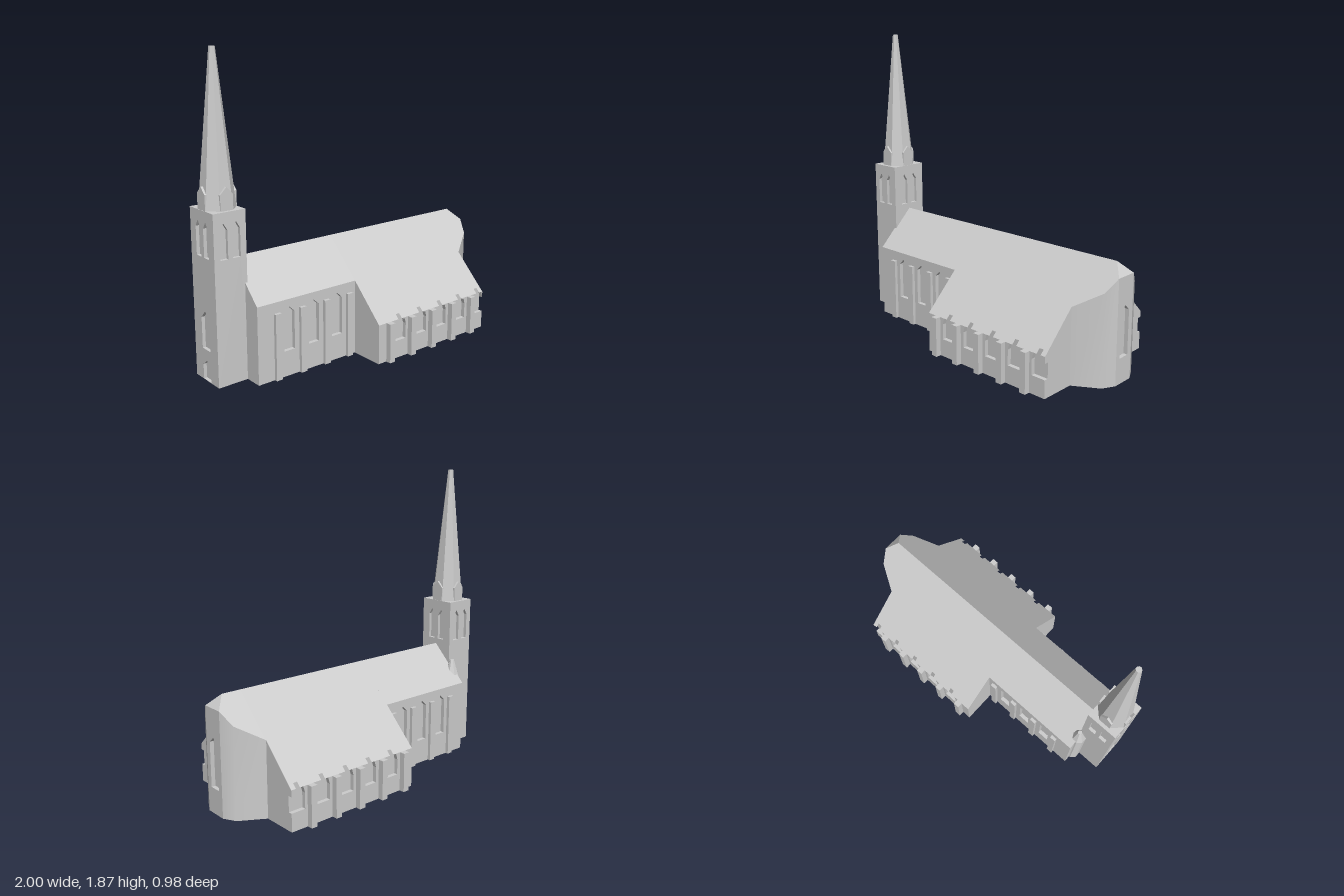
import * as THREE from 'three';

const RIDGE = 0.7; // both roof slopes fall at 45 degrees from here
const DEPTH = 0.025; // window recess

export function createModel() {
  const church = new THREE.Group();
  church.name = 'church';
  const stone = new THREE.MeshStandardMaterial({ color: 0xcccccc });
  stone.name = 'pale stone';

  const add = (name, geo, x = 0, y = 0, z = 0) => {
    const mesh = new THREE.Mesh(geo, stone);
    mesh.name = name;
    mesh.position.set(x, y, z);
    church.add(mesh);
    return mesh;
  };
  const flat = (geo) => {
    const g = geo.index ? geo.toNonIndexed() : geo;
    g.computeVertexNormals();
    return g;
  };
  const poly = (pts) => new THREE.Shape(pts.map(([x, y]) => new THREE.Vector2(x, y)));
  const extrude = (shape, depth) => new THREE.ExtrudeGeometry(shape, { depth, bevelEnabled: false });
  const box = (name, x0, x1, y0, y1, z0, z1) =>
    add(name, new THREE.BoxGeometry(x1 - x0, y1 - y0, z1 - z0), (x0 + x1) / 2, (y0 + y1) / 2, (z0 + z1) / 2);

  // Outline of a straight-headed pointed window
  const pointed = (c, hw, y0, shoulder, peak) =>
    [[c - hw, y0], [c + hw, y0], [c + hw, shoulder], [c, peak], [c - hw, shoulder]];
  // Wall plate with window holes
  const pierced = (x0, x1, h, windows) => {
    const shape = poly([[x0, 0], [x1, 0], [x1, h], [x0, h]]);
    shape.holes = windows.map((w) => poly(w));
    return shape;
  };

  // Gabled cores of nave and aisles, behind the wall skins
  const hall = (name, w, x0, x1) => {
    const section = poly([[-w, 0], [w, 0], [w, RIDGE - w], [0, RIDGE], [-w, RIDGE - w]]);
    add(name, extrude(section, x1 - x0).rotateY(Math.PI / 2).translate(x0, 0, 0));
  };
  // Side wall skin whose top is trimmed to the roof slope
  const sideWall = (name, shapes, outer, side) => {
    const g = extrude(shapes, DEPTH);
    g.translate(0, 0, side > 0 ? outer - DEPTH : -outer);
    const p = g.attributes.position;
    for (let i = 0; i < p.count; i++) p.setY(i, Math.min(p.getY(i), RIDGE - Math.abs(p.getZ(i))));
    add(name, flat(g));
  };

  const NAVE = 0.235, AISLE = 0.455, WEST = -0.81, STEP = -0.105, EAST = 0.81;
  hall('naveBody', NAVE - DEPTH, WEST, STEP);
  hall('aisleBody', AISLE - DEPTH, STEP, EAST);

  const naveWall = pierced(WEST, STEP, RIDGE - NAVE + DEPTH,
    [-0.595, -0.42, -0.245].map((c) => pointed(c, 0.0375, 0.155, 0.385, 0.42)));

  // Aisle wall: sill strip plus piers with arched edges that run up into the roof
  const top = RIDGE - AISLE + DEPTH, sill = 0.11;
  const arch = [[0.0475, sill], [0.0475, 0.205], [0.036, 0.245], [0.023, 0.263], [0.014, top]];
  const centres = [0.065, 0.24, 0.415, 0.59, 0.765];
  const aisleWall = [poly([[STEP, 0], [EAST, 0], [EAST, sill], [STEP, sill]])];
  for (let i = 0; i < centres.length; i++) {
    const left = i ? arch.map(([dx, y]) => [centres[i - 1] + dx, y]) : [[STEP, sill], [STEP, top]];
    const right = arch.map(([dx, y]) => [centres[i] - dx, y]);
    aisleWall.push(poly([...right, ...left.reverse()]));
  }
  // last window breaks through the east corner, leaving a small spandrel
  aisleWall.push(poly([[EAST, 0.205], [EAST, top], [0.779, top], [0.788, 0.263], [0.801, 0.245]]));

  for (const side of [1, -1]) {
    sideWall('naveWall', naveWall, NAVE, side);
    sideWall('aisleWall', aisleWall, AISLE, side);
    const buttress = (x, h, inner, outer) =>
      box('buttress', x - 0.02, x + 0.02, 0, h, Math.min(side * inner, side * outer), Math.max(side * inner, side * outer));
    for (const x of [-0.68, -0.505, -0.33, -0.155]) buttress(x, 0.4, 0.225, 0.255);
    for (const x of [-0.025, 0.15, 0.327, 0.503, 0.68]) buttress(x, 0.245, 0.445, 0.49);
  }

  // Apse: smooth flanks, flat east face with window, roof continuing the slopes
  const plan = [[EAST, 0.235], [0.96, 0.145], [1.0, 0.07]];
  for (const s of [1, -1]) {
    const wall = new THREE.PlaneGeometry(1, 1, 2, 1);
    const p = wall.attributes.position;
    for (let i = 0; i < p.count; i++) {
      const col = Math.round((p.getX(i) + 0.5) * 2);
      const [x, z] = plan[s > 0 ? col : 2 - col];
      p.setXYZ(i, x, p.getY(i) > 0 ? RIDGE - z : 0, s * z);
    }
    wall.computeVertexNormals();
    add('apseWall', wall);
  }
  const fan = (pts) => {
    const v = [];
    for (let i = 1; i < pts.length - 1; i++) v.push(...pts[0], ...pts[i], ...pts[i + 1]);
    const g = new THREE.BufferGeometry();
    g.setAttribute('position', new THREE.Float32BufferAttribute(v, 3));
    return flat(g);
  };
  const hip = [0.935, RIDGE, 0];
  for (const s of [1, -1]) {
    const slope = [[EAST, RIDGE, 0], ...plan.map(([x, z]) => [x, RIDGE - z, s * z]), hip];
    add('apseRoof', fan(s > 0 ? slope : slope.reverse()));
  }
  add('apseHip', fan([hip, [1, 0.63, 0.07], [1, 0.63, -0.07]]));
  add('apseFloor', fan([...plan.map(([x, z]) => [x, 0, -z]), ...plan.map(([x, z]) => [x, 0, z]).reverse()]));
  const apseFace = pierced(-0.07, 0.07, 0.63, [pointed(0, 0.0375, 0.155, 0.425, 0.46)]);
  add('apseEastFace', extrude(apseFace, DEPTH).rotateY(Math.PI / 2), 1 - DEPTH);
  box('apseCore', 0.8, 1 - DEPTH, 0, 0.6, -0.06, 0.06);

  // Tower: core with four pierced faces
  const TX = -0.8975, hx = 0.1025, hz = 0.122, t = 0.02;
  box('towerCore', TX - hx + t, TX + hx - t, 0, 1, -hz + t, hz - t);
  const belfry = [-0.04, 0.04].map((c) => pointed(c, 0.025, 0.735, 0.9, 0.94));
  const westOpenings = [pointed(0, 0.042, 0.19, 0.375, 0.42), pointed(0, 0.042, 0.002, 0.09, 0.125)];
  for (let i = 0; i < 4; i++) {
    const half = i % 2 ? hz : hx, dist = i % 2 ? hx : hz;
    const shape = pierced(-half, half, 1, i === 3 ? [...belfry, ...westOpenings] : belfry);
    add('towerFace', extrude(shape, t).translate(0, 0, dist - t).rotateY(i * Math.PI / 2), TX);
  }

  // Octagonal spire with gabled dormers on its four main sides
  const octagon = (rTop, rBase, h) => flat(new THREE.CylinderGeometry(rTop, rBase, h, 8).rotateY(Math.PI / 8));
  add('spire', octagon(0.017, 0.1055, 0.872), TX, 1.436);
  for (const angle of [0, Math.PI / 2]) {
    const gable = poly(pointed(0, 0.04, 1.0, 1.09, 1.13));
    add('spireDormers', extrude(gable, 0.2).translate(0, 0, -0.1).rotateY(angle), TX);
  }

  // Stair turret in the corner between tower and nave
  add('stairTurret', octagon(0.05, 0.05, 0.5), -0.8, 0.25, -0.145);
  add('stairTurretCap', octagon(0.014, 0.05, 0.112), -0.8, 0.556, -0.145);

  return church;
}
